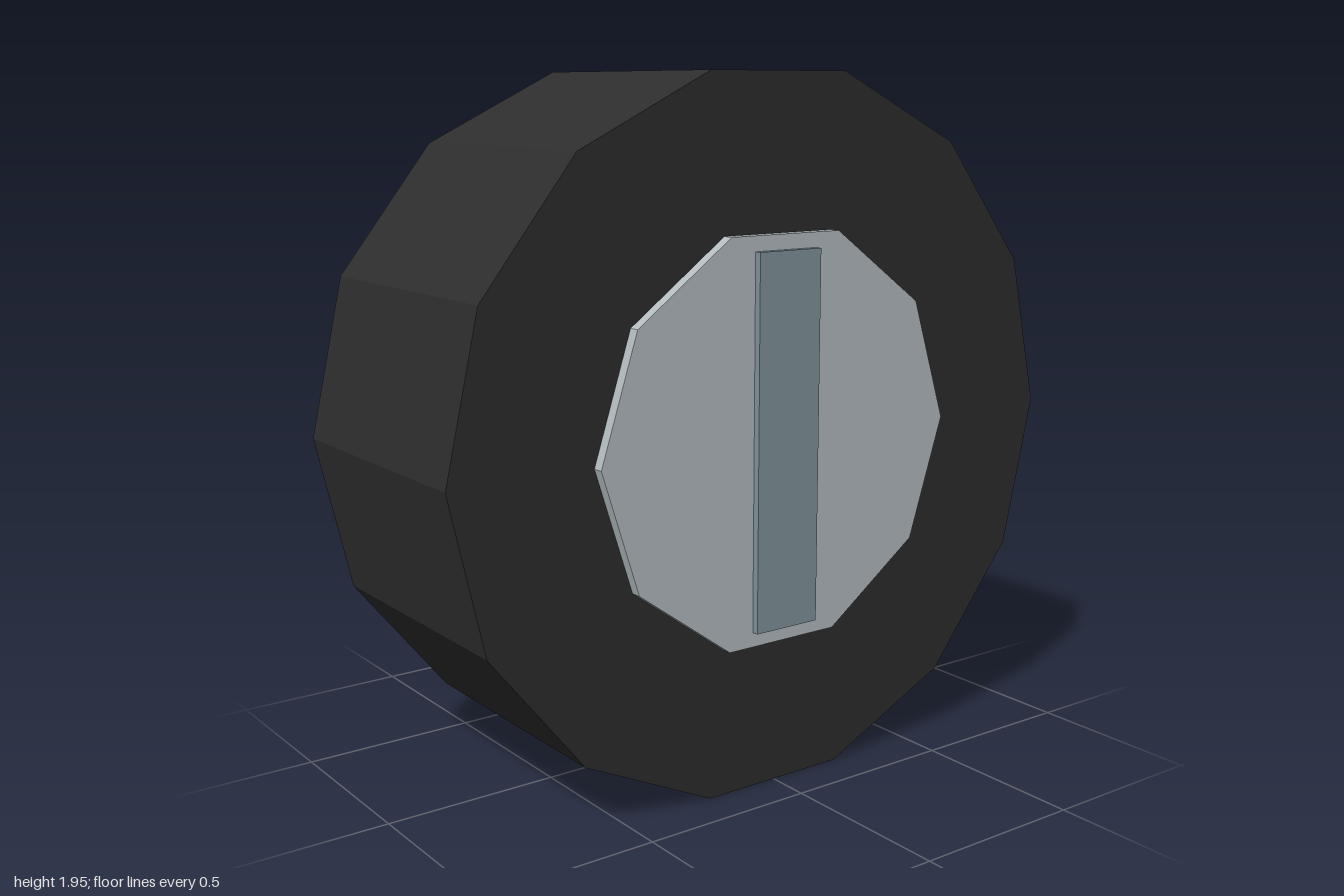
import * as THREE from 'three';

const AXLE_Y = 0.975;

function material(name, color) {
  const m = new THREE.MeshStandardMaterial({ color, flatShading: true });
  m.name = name;
  return m;
}

// Polygonal disc lying along the x axis, with a corner pointing to +z
function disc(radius, width, sides) {
  return new THREE.CylinderGeometry(radius, radius, width, sides).rotateZ(Math.PI / 2);
}

export function createModel() {
  const rubber = material('darkRubber', 0x2d2d2d);
  const metal = material('paleMetal', 0xb3bcc0);
  const steel = material('blueGreySteel', 0x81939b);

  const wheel = new THREE.Group();
  wheel.name = 'wheel';

  const add = (name, geometry, mat, x) => {
    const mesh = new THREE.Mesh(geometry, mat);
    mesh.name = name;
    mesh.position.set(x, AXLE_Y, 0);
    wheel.add(mesh);
  };

  // Tyre
  add('tyre', disc(1, 0.757, 14), rubber, 0);

  // Hub cap and vertical bar on each side
  for (const [side, s] of [['left', 1], ['right', -1]]) {
    add(side + 'HubCap', disc(0.585, 0.06, 10), metal, s * 0.38);
    add(side + 'HubBar', new THREE.BoxGeometry(0.04, 1.03, 0.206), steel, s * 0.41);
  }
  return wheel;
}
